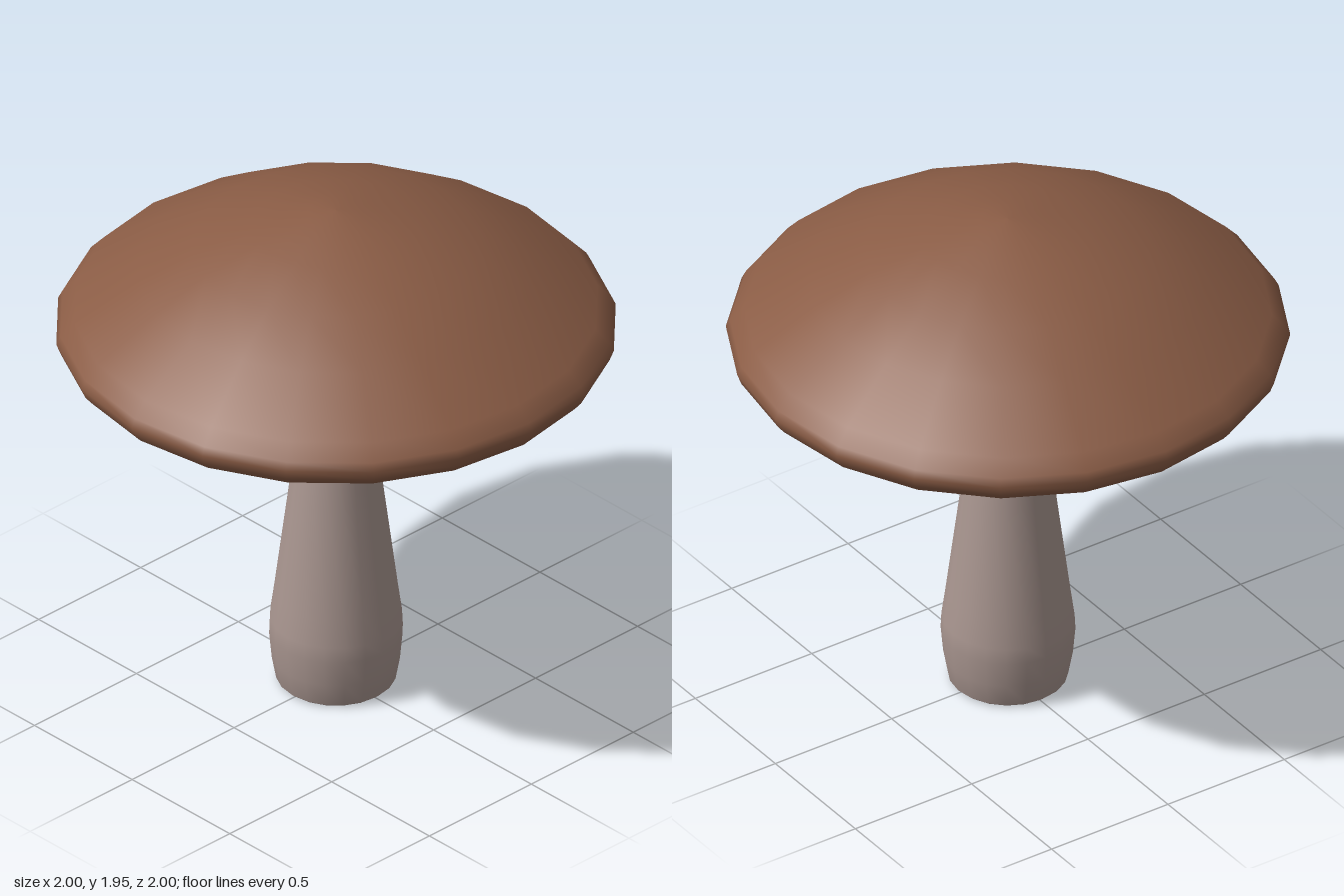
import * as THREE from 'three';

const SIDES = 20;

// Revolve a [radius, height] profile, listed from bottom to top
function turned(name, profile, material) {
  const points = profile.map(([r, y]) => new THREE.Vector2(r, y));
  const mesh = new THREE.Mesh(new THREE.LatheGeometry(points, SIDES), material);
  mesh.name = name;
  return mesh;
}

export function createModel() {
  const model = new THREE.Group();
  model.name = 'mushroom';
  const brown = new THREE.MeshStandardMaterial({ color: 0x8a5c45 });
  const pale = new THREE.MeshStandardMaterial({ color: 0xa8958f });

  // Cap: shallow underside, rounded rim and a gently bell-shaped crown
  model.add(turned('cap', [
    [0, 1.295], [0.13, 1.297], [0.71, 1.325], [0.96, 1.4], [0.985, 1.43], [1, 1.47],
    [0.985, 1.5], [0.935, 1.555], [0.71, 1.705], [0.51, 1.815], [0.3, 1.89],
    [0.1, 1.94], [0, 1.947],
  ], brown));

  // Stem: swollen foot, long taper and a small flare under the cap
  model.add(turned('stem', [
    [0.2, 0], [0.214, 0.012], [0.23, 0.1], [0.239, 0.2], [0.236, 0.26], [0.221, 0.37],
    [0.167, 0.8], [0.115, 1.22], [0.112, 1.255], [0.12, 1.28], [0.14, 1.298],
  ], pale));

  // Flat foot closing the stem
  const foot = new THREE.Mesh(new THREE.CircleGeometry(0.2, SIDES), pale);
  foot.name = 'stemFoot';
  foot.rotation.x = Math.PI / 2;
  model.add(foot);

  return model;
}
